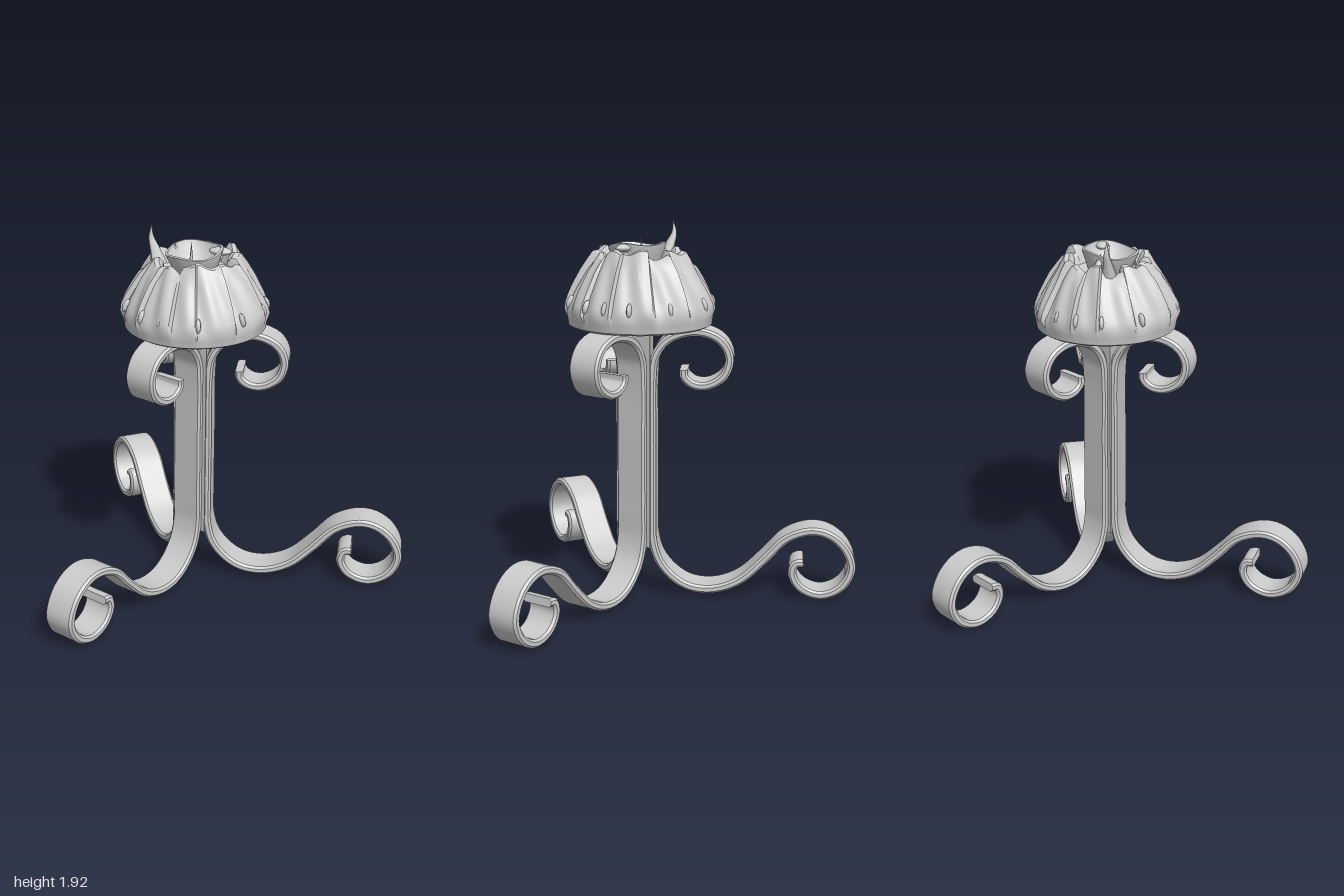
import * as THREE from 'three';
import { mergeVertices, toCreasedNormals } from 'three/addons/utils/BufferGeometryUtils.js';

const mat = new THREE.MeshStandardMaterial({ color: 0xcccccc, side: THREE.DoubleSide });
const CX = 0.1, CZ = -0.14;

function add(parent, name, geometry, x = 0, y = 0, z = 0) {
  const m = new THREE.Mesh(geometry, mat);
  m.name = name;
  m.position.set(x, y, z);
  parent.add(m);
  return m;
}

// Flat iron bar of chamfered section swept along a curve lying in the z-y plane
function ribbon(points, width, thick, rings) {
  const curve = new THREE.CatmullRomCurve3(points.map(([z, y]) => new THREE.Vector3(0, y, z)), false, 'centripetal');
  const w = width / 2, t = thick / 2, c = 0.011;
  const section = [[w, t - c], [w - c, t], [c - w, t], [-w, t - c], [-w, c - t], [c - w, -t], [w - c, -t], [w, c - t]];
  const n = section.length, pos = [], idx = [];
  for (let i = 0; i <= rings; i++) {
    const p = curve.getPointAt(i / rings), d = curve.getTangentAt(i / rings);
    for (const [a, b] of section) pos.push(a, p.y + b * d.z, p.z - b * d.y);
  }
  for (let i = 0; i < rings; i++) for (let j = 0; j < n; j++) {
    const a = i * n + j, b = i * n + (j + 1) % n;
    idx.push(a, b, a + n, b, b + n, a + n);
  }
  for (let j = 1; j < n - 1; j++) { // end caps
    const e = rings * n;
    idx.push(0, j + 1, j, e, e + j, e + j + 1);
  }
  const g = new THREE.BufferGeometry();
  g.setAttribute('position', new THREE.Float32BufferAttribute(pos, 3));
  g.setIndex(idx);
  return toCreasedNormals(g, 0.6);
}

// Lathe with every vertex moved by rule(radius, y, angle) -> [radius, y]
function shapedLathe(profile, segments, rule) {
  const g = new THREE.LatheGeometry(profile.map(([r, y]) => new THREE.Vector2(r, y)), segments);
  const p = g.attributes.position;
  for (let i = 0; i < p.count; i++) {
    const x = p.getX(i), z = p.getZ(i), r = Math.hypot(x, z);
    const a = (Math.atan2(x, z) + Math.PI * 2 + 1e-5) % (Math.PI * 2);
    const [r2, y2] = rule(r, p.getY(i), a);
    const k = r > 1e-6 ? r2 / r : 1;
    p.setXYZ(i, x * k, y2, z * k);
  }
  g.deleteAttribute('uv');
  g.deleteAttribute('normal');
  return toCreasedNormals(mergeVertices(g, 1e-5), 0.7);
}

// Thin tapering spike along a path
function spike(points, radius) {
  const curve = new THREE.CatmullRomCurve3(points.map(p => new THREE.Vector3(...p)));
  const N = 12, g = new THREE.TubeGeometry(curve, N, radius, 8);
  const p = g.attributes.position, v = new THREE.Vector3();
  for (let i = 0; i < p.count; i++) {
    const u = Math.floor(i / 9) / N, c = curve.getPointAt(u);
    v.fromBufferAttribute(p, i).sub(c).multiplyScalar(1.02 - u).add(c);
    p.setXYZ(i, v.x, v.y, v.z);
  }
  g.computeVertexNormals();
  return g;
}

export function createModel() {
  const root = new THREE.Group();
  root.name = 'scrolledStand';

  // Three bars: foot scroll, upright, top scroll
  const bar = [
    [0.69, 0.2], [0.65, 0.195], [0.635, 0.14], [0.68, 0.065], [0.78, 0.03], [0.88, 0.075], [0.93, 0.18],
    [0.89, 0.29], [0.81, 0.355], [0.72, 0.37], [0.6, 0.325], [0.49, 0.21], [0.38, 0.105], [0.29, 0.06],
    [0.2, 0.045], [0.11, 0.06], [0.03, 0.11], [-0.04, 0.2], [-0.07, 0.31], [-0.073, 0.45], [-0.073, 0.8],
    [-0.073, 1.15], [-0.06, 1.26], [-0.01, 1.34], [0.08, 1.385], [0.18, 1.39], [0.27, 1.345], [0.308, 1.26],
    [0.28, 1.17], [0.2, 1.12], [0.13, 1.125], [0.085, 1.165], [0.083, 1.2],
  ].map(([z, y]) => [(z + 0.14) / 0.98, y]);
  const barGeometry = ribbon(bar, 0.17, 0.042, 260);
  const turn = THREE.MathUtils.degToRad(11);
  ['front', 'right', 'back'].forEach((side, i) => {
    const m = add(root, side + 'ScrollBar', barGeometry, CX, 0, CZ);
    m.rotation.y = turn - i * Math.PI * 2 / 3;
  });

  // Core that fills the gap between the uprights, and the seat under the shade
  add(root, 'postCore', toCreasedNormals(new THREE.CylinderGeometry(0.122, 0.122, 1.18, 3, 1, false, turn + Math.PI / 3), 0.5), CX, 0.86, CZ);
  add(root, 'shadeSeat', new THREE.CylinderGeometry(0.15, 0.115, 0.06, 24), CX, 1.41, CZ);

  // Shade of overlapping petals with a ragged top
  const shade = new THREE.Group();
  shade.name = 'shade';
  shade.position.set(0.095, 0, -0.13);
  root.add(shade);
  const edges = [0, 0.5, 0.86, 1.42, 2.05, 2.5, 3.1, 3.62, 4.2, 4.75, 5.1, 5.62, Math.PI * 2];
  const lift = [0.03, 0.015, 0.035, 0.04, 0.02, 0.03, 0.022, 0.035, 0.03, 0.03, 0.02, 0.03];
  const topShift = [-0.02, 0.01, 0.01, -0.01, 0.015, 0.02, -0.01, 0.01, -0.02, 0.0, -0.03, -0.01];
  const profile = [[0, 1.44], [0.15, 1.44], [0.3, 1.425], [0.345, 1.415], [0.362, 1.425], [0.368, 1.46], [0.378, 1.5],
    [0.366, 1.54], [0.343, 1.59], [0.312, 1.645], [0.28, 1.7], [0.25, 1.745], [0.225, 1.78], [0.2, 1.785],
    [0.18, 1.76], [0.16, 1.72], [0.09, 1.7], [0, 1.7]];
  add(shade, 'petals', shapedLathe(profile, 180, (r, y, a) => {
    if (y < 1.45 || r < 0.17) return [r, y];
    const k = Math.max(0, edges.findIndex((e, i) => a >= e && a < edges[i + 1]));
    const f = (a - edges[k]) / (edges[k + 1] - edges[k]);
    const h = THREE.MathUtils.smoothstep(y, 1.45, 1.56);
    const top = THREE.MathUtils.smoothstep(y, 1.68, 1.78);
    const ripple = 0.008 * Math.sin(a * 17 + y * 9) * (1 - top) * h;
    return [r + lift[k] * (f - 0.6) * h + ripple, y + top * (topShift[k] + 0.012 * Math.sin(a * 9))];
  }));

  // Small pinched tabs around the hem
  const tab = new THREE.SphereGeometry(1, 8, 6);
  for (let i = 0; i < 13; i++) {
    const a = i * Math.PI * 2 / 13 + 0.15 * Math.sin(i * 5);
    const m = add(shade, 'hemTab', tab, 0.355 * Math.sin(a), 1.54, 0.355 * Math.cos(a));
    m.scale.set(0.014, 0.036, 0.022);
    m.rotation.set(-0.4, a, 0, 'YXZ');
  }

  // Shallow cup, slightly tilted, with its pin
  const cup = add(root, 'cup', shapedLathe([[0.1, -0.13], [0.125, -0.06], [0.145, -0.012], [0.147, 0], [0.134, 0.002],
    [0.118, -0.04], [0.085, -0.085], [0.04, -0.1], [0, -0.102]], 48,
  (r, y, a) => [r, y + (y > -0.05 ? 0.008 * Math.sin(a * 3 + 1) : 0)]), 0.105, 1.82, -0.11);
  cup.rotation.x = 0.09;
  add(root, 'pin', spike([[0.085, 1.71, -0.11], [0.083, 1.78, -0.11], [0.088, 1.86, -0.105]], 0.014));

  // Torn points standing on the rim
  add(root, 'tallPoint', spike([[-0.06, 1.72, -0.02], [-0.085, 1.79, -0.015], [-0.112, 1.86, -0.01], [-0.106, 1.925, -0.01]], 0.042));
  add(root, 'shortPoint', spike([[-0.05, 1.74, -0.1], [-0.03, 1.79, -0.1], [-0.02, 1.83, -0.095]], 0.03));
  const flap = add(root, 'curledFlap', new THREE.SphereGeometry(1, 16, 10), 0.19, 1.815, -0.21);
  flap.scale.set(0.06, 0.02, 0.035);
  flap.rotation.y = 0.6;

  return root;
}
